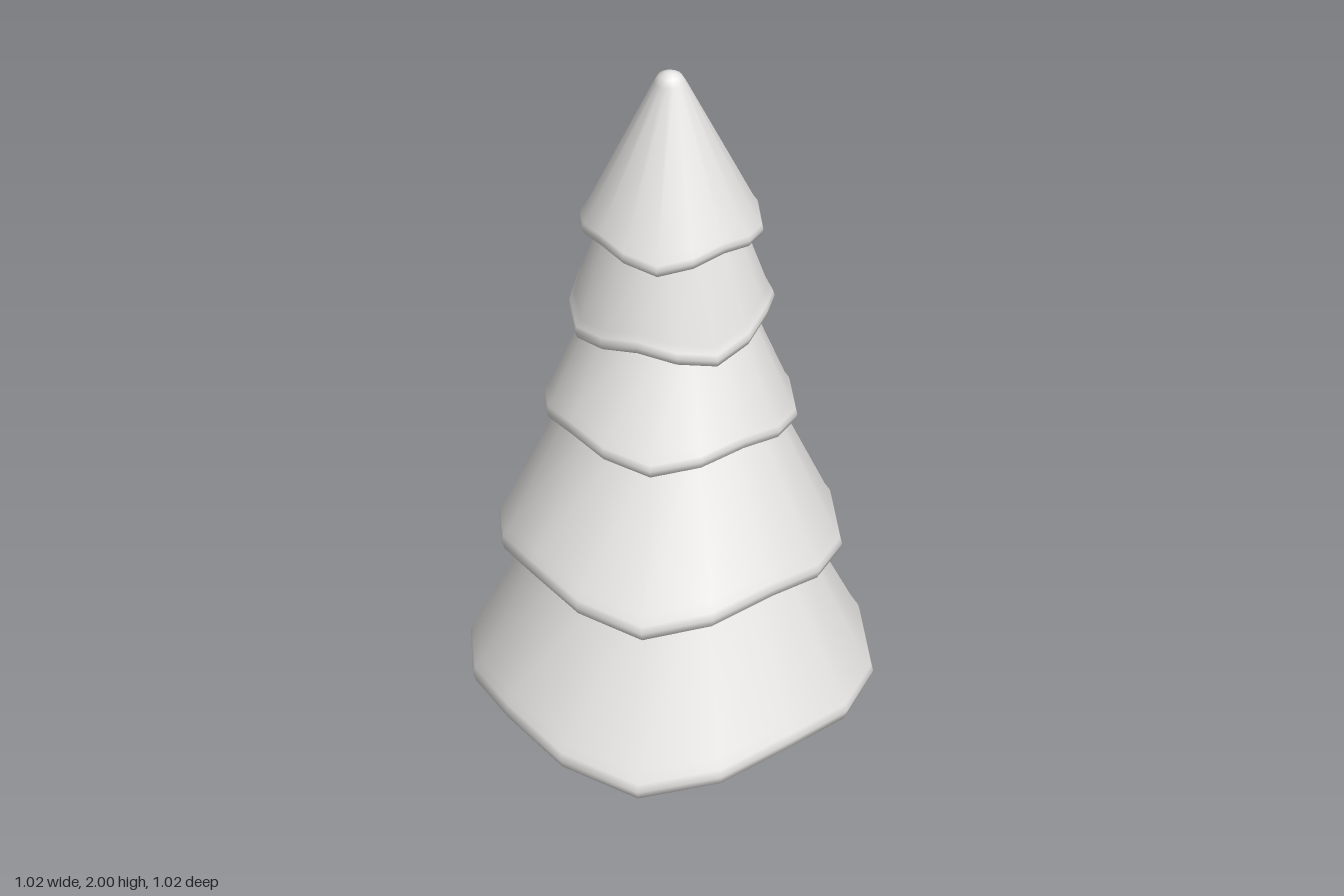
import * as THREE from 'three';
import { mergeVertices } from 'three/addons/utils/BufferGeometryUtils.js';

const SIDES = 16;

// One branch tier: a closed cone whose thick, rounded rim droops at four points.
// rim: largest radius, low: lowest rim height, bevel: rim thickness scale,
// lift: rise of the rim between droops, turn: rotation of the droops,
// cx/cz: rim centre, tilt: rim slope along z, under: underside hollow,
// top: [radius, height] points that close the tier, in rising order.
function tierGeometry({ rim, low, bevel, lift, turn = 0, cx = 0, cz = 0, tilt = 0, under, top }) {
  const topY = top[top.length - 1][1];
  // profile points: [radius, height, how strongly the droop acts]
  const profile = [
    [0, low + under, 0],
    [rim * 0.45, low + under * 0.75, 0.4],
    [rim - 0.06 * bevel, low + 0.003 * bevel, 1],
    [rim - 0.032 * bevel, low + 0.002 * bevel, 1],
    [rim - 0.007 * bevel, low + 0.018 * bevel, 1],
    [rim, low + 0.042 * bevel, 1],
    [rim - 0.006 * bevel, low + 0.062 * bevel, 1],
    [rim - 0.021 * bevel, low + 0.084 * bevel, 1],
    ...top.map(([r, y]) => [r, y, 0]),
  ];
  const positions = [];
  const index = [];
  profile.forEach(([r, y, droop], i) => {
    const shift = Math.min(1, Math.max(0, (topY - y) / (topY - low)));
    for (let j = 0; j <= SIDES; j++) {
      const a = ((j % SIDES) / SIDES) * Math.PI * 2 + turn;
      const up = (1 - Math.cos(4 * (j % SIDES) / SIDES * Math.PI * 2)) / 2;
      const rr = r * (1 - 0.045 * up * droop);
      const z = Math.cos(a) * rr;
      positions.push(
        Math.sin(a) * rr + cx * shift,
        y + (lift * up + tilt * z) * droop,
        z + cz * shift,
      );
      if (i < profile.length - 1 && j < SIDES) {
        const p = i * (SIDES + 1) + j;
        const q = p + SIDES + 1;
        if (r > 0) index.push(p, p + 1, q + 1);
        if (profile[i + 1][0] > 0) index.push(p, q + 1, q);
      }
    }
  });
  let geometry = new THREE.BufferGeometry();
  geometry.setAttribute('position', new THREE.Float32BufferAttribute(positions, 3));
  geometry.setIndex(index);
  geometry = mergeVertices(geometry, 1e-5);
  geometry.computeVertexNormals();
  return geometry;
}

export function createModel() {
  const model = new THREE.Group();
  model.name = 'snowyFirTree';

  const snow = new THREE.MeshStandardMaterial({ color: 0xe6e5e3 });
  snow.name = 'snow white';
  const bark = new THREE.MeshStandardMaterial({ color: 0x735c4b });
  bark.name = 'bark brown';

  // Tapered trunk, reaching into the lowest tier
  const trunk = new THREE.Mesh(new THREE.CylinderGeometry(0.075, 0.094, 0.55, SIDES), bark);
  trunk.name = 'trunk';
  trunk.position.set(-0.002, 0.275, -0.015);
  model.add(trunk);

  // Branch tiers from the ground up
  const tiers = [
    { rim: 0.508, low: 0.364, bevel: 1, lift: 0.06, under: 0.09,
      top: [[0.315, 0.8], [0.22, 1.0], [0, 1.02]] },
    { rim: 0.414, low: 0.77, bevel: 0.85, lift: 0.058, cz: 0.014, tilt: 0.035, under: 0.08,
      top: [[0.245, 1.16], [0.17, 1.32], [0, 1.34]] },
    { rim: 0.295, low: 1.13, bevel: 0.7, lift: 0.04, cz: 0.002, tilt: 0.06, under: 0.06,
      top: [[0.19, 1.4], [0.135, 1.52], [0, 1.54]] },
    { rim: 0.237, low: 1.378, bevel: 0.7, lift: 0.035, turn: Math.PI * 3 / 16, cz: -0.031,
      tilt: -0.05, under: 0.05, top: [[0.165, 1.61], [0.105, 1.75], [0, 1.77]] },
    { rim: 0.204, low: 1.597, bevel: 0.6, lift: 0.03, cx: -0.002, cz: -0.03, tilt: -0.03,
      under: 0.04, top: [[0.034, 1.976], [0.025, 1.991], [0.012, 1.998], [0, 2]] },
  ];
  tiers.forEach((tier, i) => {
    const mesh = new THREE.Mesh(tierGeometry(tier), snow);
    mesh.name = `branchTier${i + 1}`;
    model.add(mesh);
  });

  return model;
}
